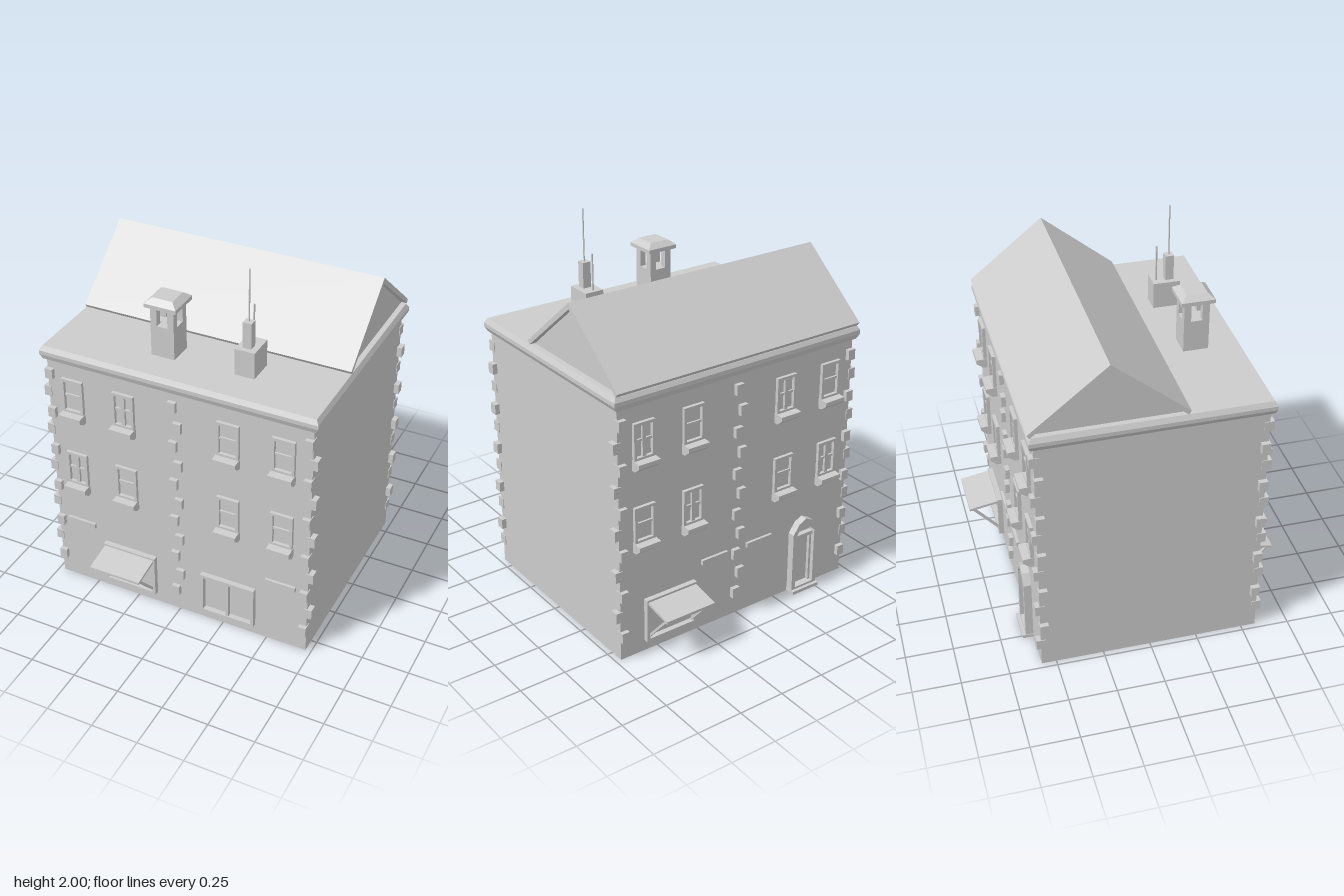
import * as THREE from 'three';

const mat = new THREE.MeshStandardMaterial({ color: 0xcccccc, flatShading: true, side: THREE.DoubleSide });
const WALL = 0.577; // half depth of the body

function add(parent, name, geo) {
  const m = new THREE.Mesh(geo, mat);
  m.name = name;
  parent.add(m);
  return m;
}

// Box given by its limits on each axis
function box(parent, name, x0, x1, y0, y1, z0, z1) {
  const m = add(parent, name, new THREE.BoxGeometry(x1 - x0, y1 - y0, z1 - z0));
  m.position.set((x0 + x1) / 2, (y0 + y1) / 2, (z0 + z1) / 2);
  return m;
}

// Closed solid through stacked rectangles [halfX, halfZ, y]
function rectLoft(levels) {
  const pos = [], idx = [], n = levels.length;
  for (const [hx, hz, y] of levels) pos.push(-hx, y, hz, hx, y, hz, hx, y, -hz, -hx, y, -hz);
  for (let i = 0; i < n - 1; i++) {
    for (let k = 0; k < 4; k++) {
      const a = i * 4 + k, b = i * 4 + (k + 1) % 4;
      idx.push(a, b, b + 4, a, b + 4, a + 4);
    }
  }
  const t = (n - 1) * 4;
  idx.push(0, 2, 1, 0, 3, 2, t, t + 1, t + 2, t, t + 2, t + 3);
  const g = new THREE.BufferGeometry();
  g.setAttribute('position', new THREE.Float32BufferAttribute(pos, 3));
  g.setIndex(idx);
  return g.toNonIndexed().computeVertexNormals() || flat(g);
}
function flat(g) {
  const f = g.toNonIndexed();
  f.computeVertexNormals();
  return f;
}

// Extrudes a (z, y) outline along x from x0 to x1
function sideExtrude(points, x0, x1) {
  const shape = new THREE.Shape(points.map(([z, y]) => new THREE.Vector2(-z, y)));
  const g = new THREE.ExtrudeGeometry(shape, { depth: x1 - x0, bevelEnabled: false });
  g.rotateY(Math.PI / 2);
  g.translate(x0, 0, 0);
  return g;
}

// Rectangular frame with four bars
function frame(parent, x0, x1, y0, y1, w, z) {
  box(parent, 'frameLeft', x0, x0 + w, y0, y1, WALL - 0.01, z);
  box(parent, 'frameRight', x1 - w, x1, y0, y1, WALL - 0.01, z);
  box(parent, 'frameTop', x0 + w, x1 - w, y1 - w, y1, WALL - 0.01, z);
  box(parent, 'frameBottom', x0 + w, x1 - w, y0, y0 + w, WALL - 0.01, z);
}

function makeWindow(x, y, casement) {
  const g = new THREE.Group();
  g.name = casement ? 'casementWindow' : 'sashWindow';
  frame(g, -0.06, 0.06, 0.05, 0.245, 0.015, 0.595);
  box(g, 'crossBar', -0.045, 0.045, 0.145, 0.157, WALL - 0.01, 0.587);
  if (casement) box(g, 'mullion', -0.01, 0.01, 0.065, 0.23, WALL - 0.01, 0.591);
  const z = WALL - 0.01;
  add(g, 'sill', sideExtrude([[z, 0], [0.6, 0], [0.635, 0.028], [0.635, 0.05], [z, 0.055]], -0.062, 0.062));
  g.position.set(x, y, 0);
  return g;
}

function makeShopWindow(x, awning) {
  const g = new THREE.Group();
  g.name = 'shopWindow';
  frame(g, -0.152, 0.152, 0.06, 0.303, 0.017, 0.605);
  if (awning) {
    add(g, 'awning', sideExtrude([[WALL, 0.283], [WALL, 0.297], [0.762, 0.264], [0.762, 0.25]], -0.145, 0.145));
    for (const s of [-1, 1]) {
      const c = s * 0.131;
      add(g, 'awningStrut', sideExtrude([[WALL, 0.06], [WALL, 0.078], [0.737, 0.26], [0.752, 0.256]], c - 0.006, c + 0.006));
    }
  } else {
    box(g, 'mullion', -0.008, 0.008, 0.077, 0.286, WALL - 0.01, 0.6);
  }
  g.position.x = x;
  return g;
}

function makeDoor(x) {
  const g = new THREE.Group();
  g.name = 'door';
  const P = (pts) => pts.map(([a, b]) => new THREE.Vector2(a, b));
  // Gabled surround with an arched opening
  const outer = new THREE.Shape(P([[-0.083, 0.015], [0.083, 0.015], [0.083, 0.355], [0.045, 0.41], [0, 0.432], [-0.045, 0.41], [-0.083, 0.355]]));
  outer.holes.push(new THREE.Path(P([[-0.06, 0.03], [-0.06, 0.345], [-0.035, 0.385], [0, 0.402], [0.035, 0.385], [0.06, 0.345], [0.06, 0.03]])));
  const geo = new THREE.ExtrudeGeometry(outer, { depth: 0.045, bevelEnabled: false });
  geo.translate(0, 0, WALL - 0.005);
  add(g, 'doorSurround', geo);
  box(g, 'transom', -0.06, 0.06, 0.315, 0.335, WALL - 0.01, 0.605);
  frame(g, -0.06, 0.06, 0.015, 0.32, 0.013, 0.595);
  box(g, 'doorStep', -0.087, 0.087, 0, 0.018, WALL - 0.01, 0.635);
  g.position.x = x;
  return g;
}

// One facade facing +z; casement[row][column] picks the window type
function makeFacade(name, casement) {
  const g = new THREE.Group();
  g.name = name;
  [1.035, 0.59].forEach((y, r) => [-0.578, -0.29, 0.282, 0.573].forEach((x, c) => g.add(makeWindow(x, y, casement[r][c]))));
  for (let i = 0; i < 11; i++) {
    const y = 0.135 + 0.1155 * i, x = i % 2 ? 0.01 : -0.017;
    box(g, 'centreQuoin', x - 0.022, x + 0.022, y - 0.028, y + 0.028, WALL - 0.01, 0.6);
  }
  return g;
}

function signBar(parent, x0, x1) {
  box(parent, 'signBar', x0, x1, 0.372, 0.4, WALL - 0.01, 0.592);
}

export function createModel() {
  const model = new THREE.Group();
  model.name = 'townhouse';
  box(model, 'body', -0.72, 0.72, 0, 1.38, -WALL, WALL);
  add(model, 'cornice', rectLoft([[0.72, WALL, 1.363], [0.732, 0.592, 1.37], [0.747, 0.602, 1.397], [0.747, 0.602, 1.418], [0.733, 0.588, 1.443]]));

  // Corner quoins, alternating between front and side walls
  for (let i = 0; i < 11; i++) {
    const y = 0.135 + 0.1155 * i;
    const [x0, x1, z0, z1] = i % 2 ? [0.705, 0.746, 0.537, 0.582] : [0.682, 0.724, 0.55, 0.6];
    for (const sx of [-1, 1]) for (const sz of [-1, 1]) {
      const q = box(model, 'cornerQuoin', x0, x1, y - 0.028, y + 0.028, z0, z1);
      q.position.x *= sx;
      q.position.z *= sz;
    }
  }

  const front = makeFacade('frontFacade', [[0, 1, 0, 0], [1, 0, 0, 0]]);
  front.add(makeShopWindow(-0.288, true), makeShopWindow(0.283, false));
  signBar(front, -0.66, -0.495);
  signBar(front, 0.49, 0.655);
  const back = makeFacade('backFacade', [[1, 0, 1, 0], [0, 1, 0, 1]]);
  back.add(makeShopWindow(-0.427, true), makeDoor(0.43));
  signBar(back, -0.23, -0.07);
  signBar(back, 0.055, 0.22);
  back.rotation.y = Math.PI;
  model.add(front, back);

  // Gabled roof over the rear half, with recessed gable walls
  add(model, 'roof', sideExtrude([[0.163, 1.443], [0.176, 1.462], [-0.213, 1.78], [-0.606, 1.462], [-0.593, 1.443], [-0.213, 1.747]], -0.735, 0.735));
  add(model, 'gable', sideExtrude([[0.163, 1.44], [-0.213, 1.75], [-0.593, 1.44]], -0.705, 0.705));

  // Chimney with open top and bevelled cap
  const chimney = new THREE.Group();
  chimney.name = 'chimney';
  box(chimney, 'chimneyStack', -0.063, 0.063, 1.43, 1.61, -0.065, 0.065);
  for (const sx of [-1, 1]) for (const sz of [-1, 1]) {
    const p = box(chimney, 'chimneyPost', 0.029, 0.063, 1.61, 1.72, 0.029, 0.065);
    p.position.x *= sx;
    p.position.z *= sz;
  }
  add(chimney, 'chimneyCap', rectLoft([[0.086, 0.086, 1.712], [0.086, 0.086, 1.732], [0.054, 0.054, 1.758]]));
  chimney.position.set(-0.147, 0, 0.36);
  model.add(chimney);

  // Antenna on a plinth
  box(model, 'antennaPlinth', 0.231, 0.336, 1.43, 1.585, 0.268, 0.41);
  box(model, 'antennaBox', 0.259, 0.305, 1.585, 1.722, 0.338, 0.382);
  add(model, 'mast', new THREE.CylinderGeometry(0.004, 0.004, 0.28, 8)).position.set(0.283, 1.86, 0.36);
  add(model, 'shortMast', new THREE.CylinderGeometry(0.005, 0.005, 0.195, 8)).position.set(0.277, 1.6825, 0.293);
  return model;
}
